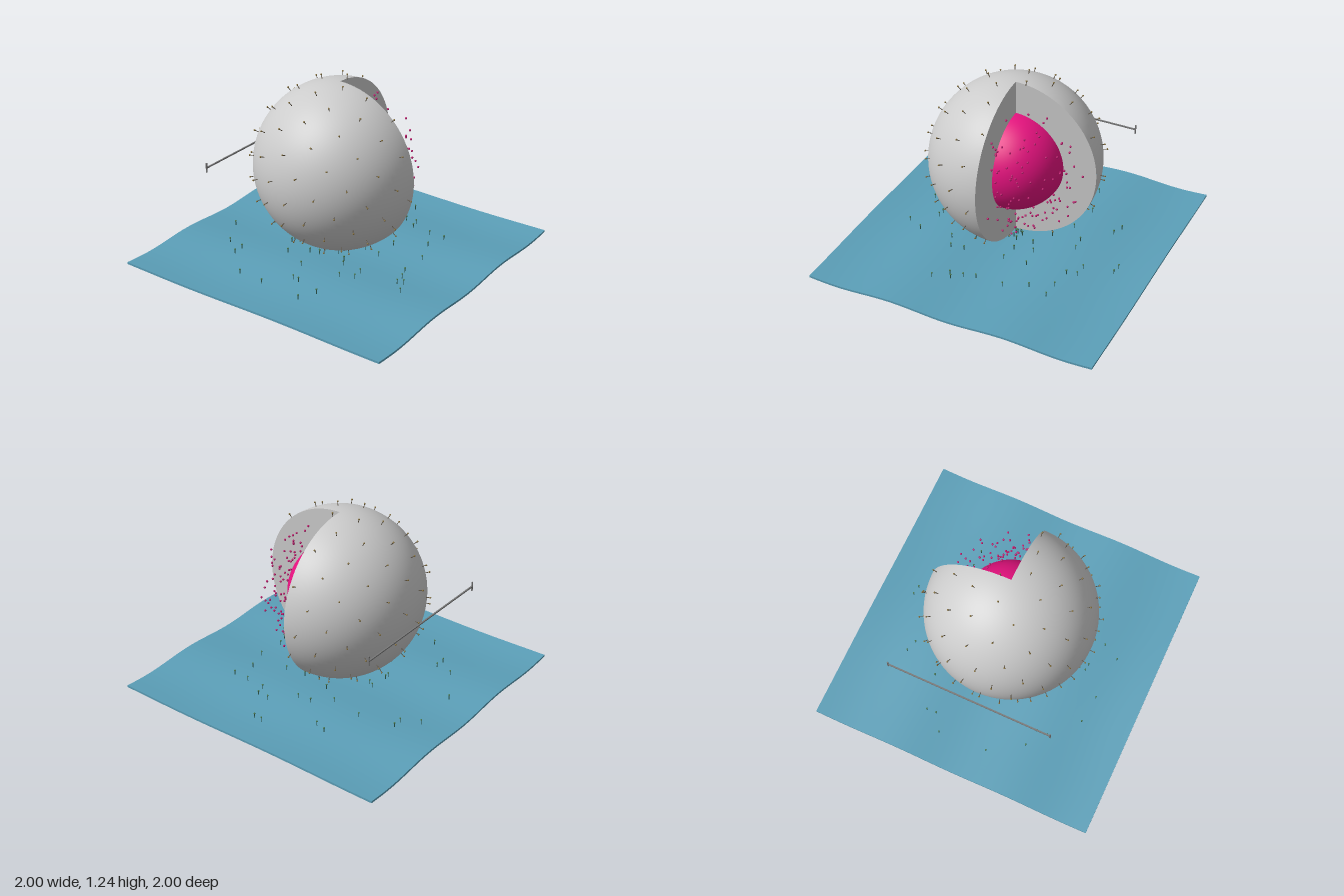
import * as THREE from 'three';
import { mergeGeometries } from 'three/addons/utils/BufferGeometryUtils.js';

const CENTER_Y = 0.645, R_SHELL = 0.57, R_CORE = 0.34;
const UP = new THREE.Vector3(0, 1, 0);

// small seeded generator
function seeded(seed) {
  return () => (seed = (seed * 16807) % 2147483647) / 2147483647;
}

function part(name, geometry, color = 0xcccccc) {
  const mesh = new THREE.Mesh(geometry, new THREE.MeshStandardMaterial({ color }));
  mesh.name = name;
  return mesh;
}

const wave = (x, z) => -0.01 * Math.cos(7.85 * x) + 0.004 * Math.cos(4.5 * z + x);

// wavy liquid sheet
function waterSheet() {
  const geo = new THREE.BoxGeometry(2, 0.014, 2, 64, 1, 64);
  const p = geo.attributes.position;
  for (let i = 0; i < p.count; i++) p.setY(i, p.getY(i) + 0.021 + wave(p.getX(i), p.getZ(i)));
  geo.computeVertexNormals();
  geo.computeBoundingBox();
  geo.translate(0, -geo.boundingBox.min.y, 0);
  return part('waterSheet', geo, 0x5b9fb8);
}

// head-and-tail molecules standing on a surface: tails and heads merged separately
function molecules(name, sites, headColor, tailColor) {
  const heads = [], tails = [];
  for (const { position, normal } of sites) {
    const q = new THREE.Quaternion().setFromUnitVectors(UP, normal);
    const m = new THREE.Matrix4().compose(position, q, new THREE.Vector3(1, 1, 1));
    heads.push(new THREE.SphereGeometry(0.006, 8, 6).translate(0, 0.028, 0).applyMatrix4(m));
    tails.push(new THREE.CylinderGeometry(0.0025, 0.0025, 0.032, 6).translate(0, 0.01, 0).applyMatrix4(m));
  }
  const group = new THREE.Group();
  group.name = name;
  group.add(part(name + 'Heads', mergeGeometries(heads), headColor));
  group.add(part(name + 'Tails', mergeGeometries(tails), tailColor));
  return group;
}

export function createModel() {
  const model = new THREE.Group();
  model.add(waterSheet());

  // droplet with the front left quarter removed
  const droplet = new THREE.Group();
  droplet.name = 'droplet';
  droplet.position.y = CENTER_Y;
  model.add(droplet);
  droplet.add(part('shell', new THREE.SphereGeometry(R_SHELL, 72, 48, Math.PI, Math.PI * 1.5)));
  droplet.add(part('core', new THREE.SphereGeometry(R_CORE, 64, 40), 0xe6127f));
  const ring = (start) => new THREE.RingGeometry(R_CORE - 0.01, R_SHELL, 64, 1, start, Math.PI);
  droplet.add(part('cutFaceBack', ring(-Math.PI / 2)));
  droplet.add(part('cutFaceSide', ring(Math.PI / 2).rotateY(Math.PI / 2)));

  // molecules spread evenly over the shell, leaving the opening free
  const shellSites = [];
  const count = 130;
  for (let i = 0; i < count; i++) {
    const y = 1 - (2 * i + 1) / count, r = Math.sqrt(1 - y * y), a = i * 2.39996;
    const normal = new THREE.Vector3(r * Math.cos(a), y, r * Math.sin(a));
    if (normal.x > 0.01 && normal.z > 0.01) continue;
    shellSites.push({ position: normal.clone().multiplyScalar(R_SHELL), normal });
  }
  droplet.add(molecules('shellMolecule', shellSites, 0x8a7440, 0x5a5040));

  // loose beads diffusing out of the core into the opening
  const rand = seeded(4217);
  const beads = [];
  for (let i = 0; i < 110; i++) {
    const y = 1.8 * rand() - 0.9, a = rand() * Math.PI / 2;
    const s = Math.sqrt(1 - y * y), d = R_CORE + 0.01 + 0.17 * rand();
    beads.push(new THREE.SphereGeometry(0.0075, 8, 6)
      .translate(d * s * Math.cos(a), d * y, d * s * Math.sin(a)));
  }
  droplet.add(part('looseBeads', mergeGeometries(beads), 0xc01c70));

  // molecules standing on the water, denser beneath the droplet
  const waterSites = [];
  for (let i = 0; i < 65; i++) {
    const r = 0.82 * rand(), a = i * 2.39996;
    const x = r * Math.cos(a), z = r * Math.sin(a);
    waterSites.push({ position: new THREE.Vector3(x, 0.032 + wave(x, z), z), normal: UP });
  }
  model.add(molecules('waterMolecule', waterSites, 0x4a7a4a, 0x2f5a50));

  // measuring bar behind the droplet, as wide as the droplet
  const bar = new THREE.Group();
  bar.name = 'scaleBar';
  bar.position.set(0, CENTER_Y, -0.655);
  bar.add(part('barLine', new THREE.BoxGeometry(1.14, 0.008, 0.01), 0x777777));
  for (const side of [-1, 1]) {
    const tick = part('barEnd', new THREE.BoxGeometry(0.008, 0.066, 0.008), 0x777777);
    tick.position.x = side * R_SHELL;
    bar.add(tick);
  }
  model.add(bar);
  return model;
}
